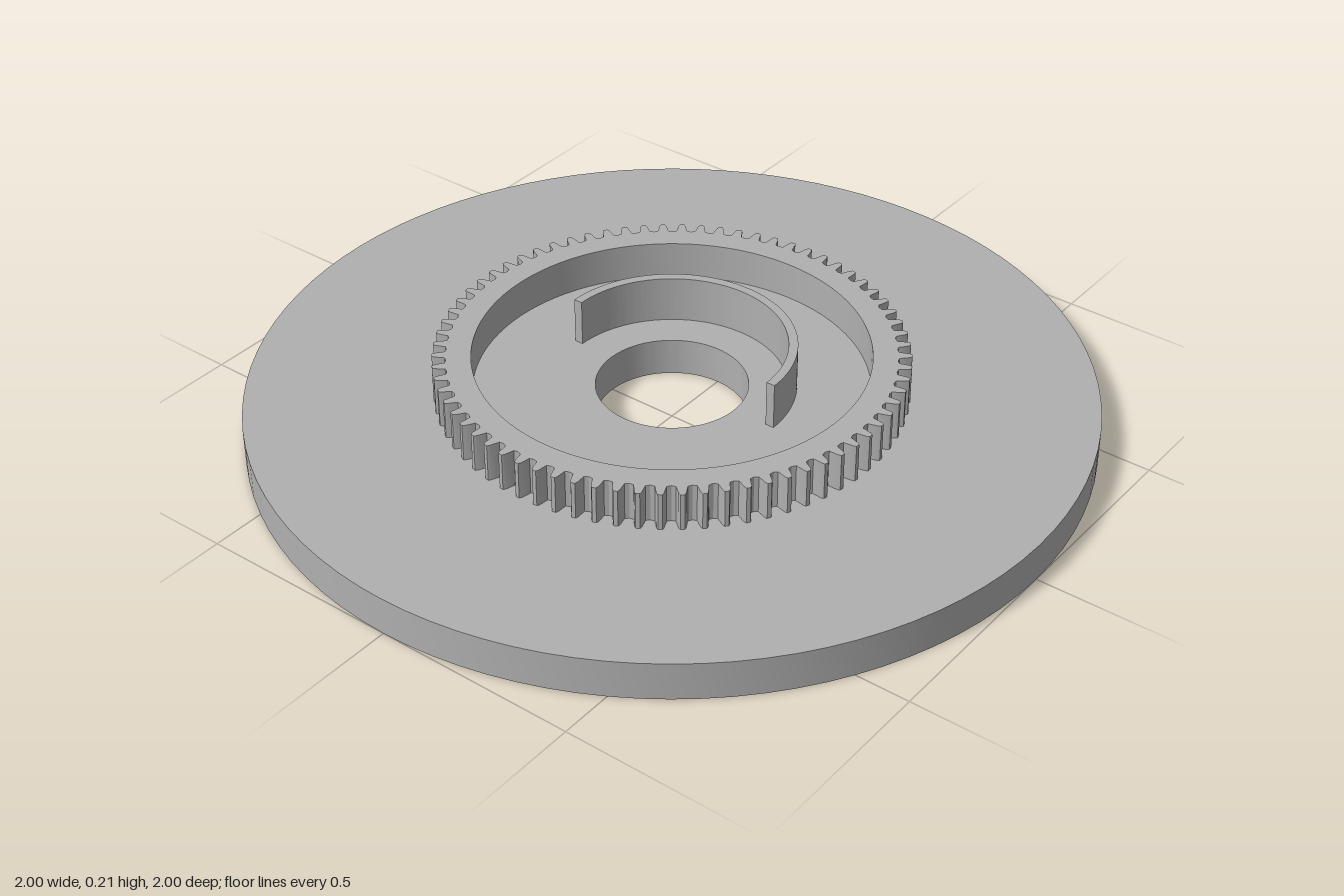
import * as THREE from 'three';
import { toCreasedNormals } from 'three/addons/utils/BufferGeometryUtils.js';

const SEG = 96;
const DISC_H = 0.095, BORE = 0.18;

export function createModel() {
  const group = new THREE.Group();
  const grey = new THREE.MeshStandardMaterial({ color: 0xb0b0b0 });
  grey.name = 'plain grey';

  const add = (name, geometry) => {
    const mesh = new THREE.Mesh(toCreasedNormals(geometry, 0.5), grey);
    mesh.name = name;
    group.add(mesh);
    return mesh;
  };
  const lathe = (points, segments = SEG, start = 0) =>
    new THREE.LatheGeometry(points.map(([r, y]) => new THREE.Vector2(r, y)), segments, start);
  const circle = (x, y, r) => new THREE.Path().absarc(x, y, r, 0, Math.PI * 2, true);
  // Extrude a plan shape upwards from y0 to y1
  const raise = (shape, y0, y1) =>
    new THREE.ExtrudeGeometry(shape, { depth: y1 - y0, bevelEnabled: false, curveSegments: SEG })
      .rotateX(-Math.PI / 2).translate(0, y0, 0);

  // Disc: rim, top face and central bore
  add('disc', lathe([[1, 0], [1, DISC_H], [BORE, DISC_H], [BORE, 0]]));

  // Underside, pierced by the bore, four blind holes and a triangular mark
  const under = new THREE.Shape().absarc(0, 0, 1, 0, Math.PI * 2, false);
  under.holes.push(circle(0, 0, BORE));

  for (const x of [0.23, -0.643]) {
    for (const z of [0.349, -0.349]) {
      under.holes.push(circle(x, z, 0.029));
      add('blindHole', lathe([[0, 0.06], [0.029, 0.06], [0.029, 0]], 48)).position.set(x, 0, z);
    }
  }

  // Shallow triangular mark pointing to the rim
  const markX = 0.883, markR = 0.068;
  under.holes.push(new THREE.Path([0, 1, 2].map((i) => {
    const a = -i * Math.PI * 2 / 3;
    return new THREE.Vector2(markX + markR * Math.cos(a), markR * Math.sin(a));
  })));
  add('triangleMark', lathe([[0, 0.01], [markR, 0.01], [markR, 0]], 3, Math.PI / 2))
    .position.x = markX;
  add('underside', new THREE.ShapeGeometry(under, SEG).rotateX(Math.PI / 2));

  // Toothed ring
  const TEETH = 72, ROOT = 0.525, TIP = 0.558;
  const profile = [[-0.5, ROOT], [-0.28, ROOT + 0.003], [-0.17, TIP - 0.006], [-0.1, TIP],
    [0.1, TIP], [0.17, TIP - 0.006], [0.28, ROOT + 0.003]];
  const outline = [];
  for (let i = 0; i < TEETH; i++) {
    for (const [t, r] of profile) {
      const a = (i + t) / TEETH * Math.PI * 2;
      outline.push(new THREE.Vector2(r * Math.cos(a), r * Math.sin(a)));
    }
  }
  const gear = new THREE.Shape(outline);
  gear.holes.push(circle(0, 0, 0.467));
  add('gearRing', raise(gear, DISC_H, 0.19));

  // Half-round wall behind the bore
  const arc = new THREE.Shape();
  arc.absarc(0, 0, 0.293, 0, Math.PI, false);
  arc.absarc(0, 0, 0.271, Math.PI, 0, true);
  arc.closePath();
  add('halfRoundWall', raise(arc, DISC_H, 0.212));

  return group;
}
